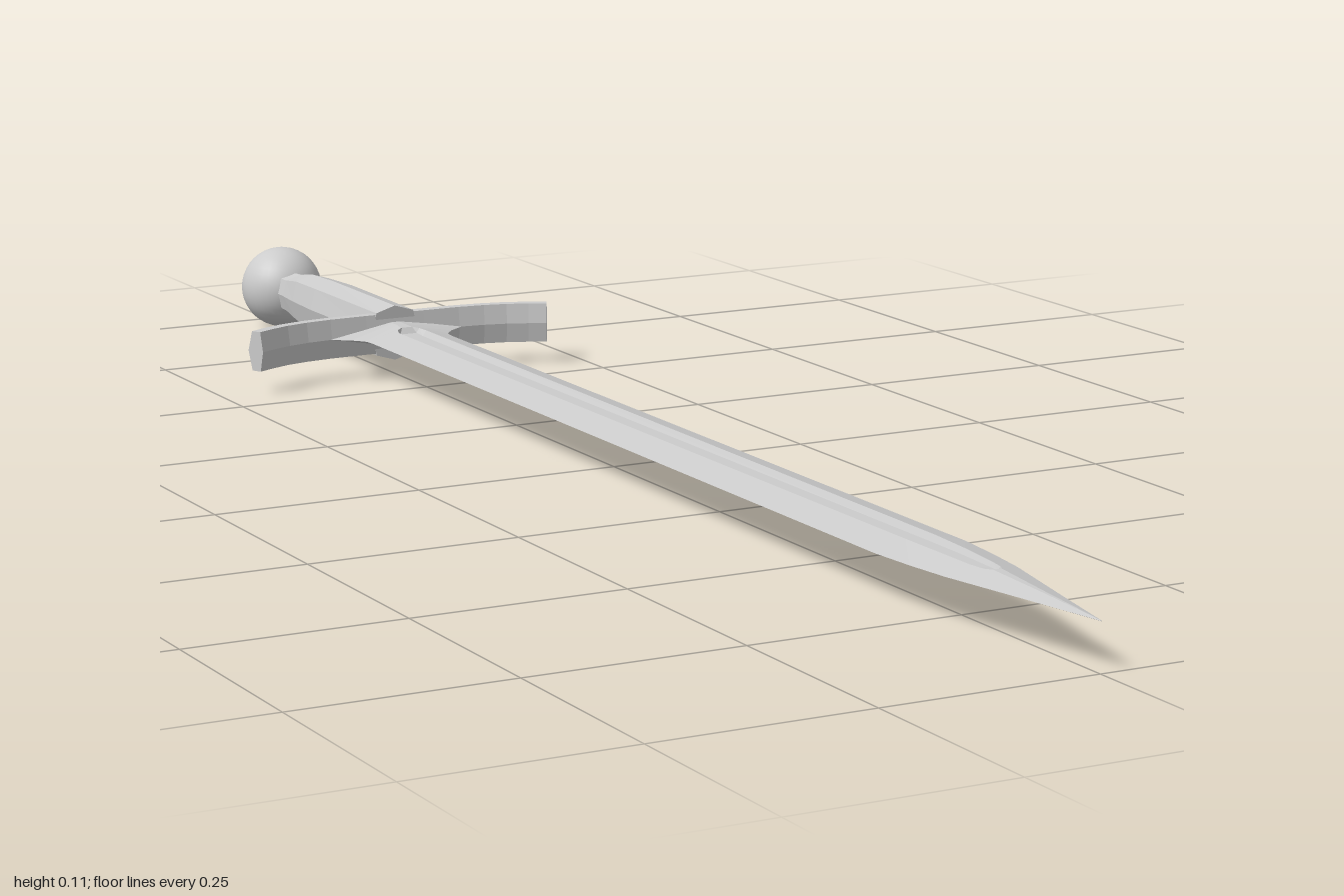
import * as THREE from 'three';

const Y = 0.054; // height of the sword's middle plane

// Skins a list of closed rings of [x, y, z] points and caps both ends.
function loft(rings) {
  const out = [];
  const tri = (a, b, c) => out.push(...a, ...b, ...c);
  const n = rings[0].length;
  for (let i = 0; i < rings.length - 1; i++) {
    for (let j = 0; j < n; j++) {
      const k = (j + 1) % n, p = rings[i], q = rings[i + 1];
      tri(p[j], p[k], q[k]);
      tri(p[j], q[k], q[j]);
    }
  }
  const cap = (ring, flip) => {
    const c = [0, 1, 2].map((a) => ring.reduce((s, p) => s + p[a], 0) / n);
    ring.forEach((p, j) => {
      const q = ring[(j + 1) % n];
      if (flip) tri(c, q, p); else tri(c, p, q);
    });
  };
  cap(rings[0], true);
  cap(rings[rings.length - 1], false);
  const geo = new THREE.BufferGeometry();
  geo.setAttribute('position', new THREE.Float32BufferAttribute(out, 3));
  geo.computeVertexNormals();
  return geo;
}

export function createModel() {
  const group = new THREE.Group();
  const flat = new THREE.MeshStandardMaterial({ color: 0xcccccc, flatShading: true });
  const smooth = new THREE.MeshStandardMaterial({ color: 0xcccccc });
  const add = (name, geo, mat = flat) => {
    const mesh = new THREE.Mesh(geo, mat);
    mesh.name = name;
    mesh.position.y = Y;
    group.add(mesh);
    return mesh;
  };

  // Blade: diamond section with a sunken fuller on both faces.
  // Stations: z, half width, fuller half width, fuller depth, ridge height
  const stations = [
    [-0.595, 0.1, 0.006, 0, 0.015],
    [-0.585, 0.088, 0.006, 0, 0.015],
    [-0.572, 0.07, 0.006, 0, 0.015],
    [-0.558, 0.058, 0.008, 0, 0.015],
    [-0.552, 0.056, 0.015, 0.006, 0.016],
    [-0.54, 0.055, 0.019, 0.007, 0.016],
    [0.67, 0.055, 0.018, 0.007, 0.016],
    [0.73, 0.05, 0.016, 0.006, 0.015],
    [0.785, 0.043, 0.013, 0.005, 0.013],
    [0.805, 0.039, 0.01, 0.004, 0.012],
    [0.815, 0.037, 0.005, 0, 0.011],
    [0.9, 0.02, 0.002, 0, 0.006],
    [1, 0.0004, 0.0001, 0, 0.0004],
  ];
  add('blade', loft(stations.map(([z, w, f, d, ridge]) => {
    const h = ridge * (1 - f / w);
    const half = [[w, 0], [f, h], [f * 0.75, h - d], [-f * 0.75, h - d], [-f, h]];
    return [...half, ...half.map(([x, y]) => [-x, -y])].map(([x, y]) => [x, y, z]);
  })));

  // Crossguard: ridged bar swept along a curve that bends toward the tip
  const arm = [[0.04, -0.6], [0.09, -0.599], [0.125, -0.595], [0.155, -0.588], [0.182, -0.577], [0.203, -0.566]];
  const path = [...arm.map(([x, z]) => [-x, z]).reverse(), ...arm];
  const section = [[0, -0.012], [0.025, -0.006], [0.025, 0.007], [0, 0.011], [-0.025, 0.007], [-0.025, -0.006]];
  add('crossguard', loft(path.map(([x, z], i) => {
    const a = path[Math.max(i - 1, 0)], b = path[Math.min(i + 1, path.length - 1)];
    const t = new THREE.Vector2(b[0] - a[0], b[1] - a[1]).normalize();
    return section.map(([y, n]) => [x - t.y * n, y, z + t.x * n]);
  })));

  // Grip: eight-sided handle narrowing toward the pommel
  const gripSection = [[1, 0], [0.8, 0.78], [0, 1], [-0.8, 0.78], [-1, 0], [-0.8, -0.78], [0, -1], [0.8, -0.78]];
  const gripStations = [[-0.92, 0.025, 0.025], [-0.885, 0.026, 0.026], [-0.845, 0.03, 0.033], [-0.78, 0.033, 0.035], [-0.592, 0.032, 0.035]];
  add('grip', loft(gripStations.map(([z, w, h]) => gripSection.map(([x, y]) => [x * w, y * h, z]))));

  // Pommel ball
  add('pommel', new THREE.SphereGeometry(0.053, 32, 20), smooth).position.z = -0.947;

  return group;
}
